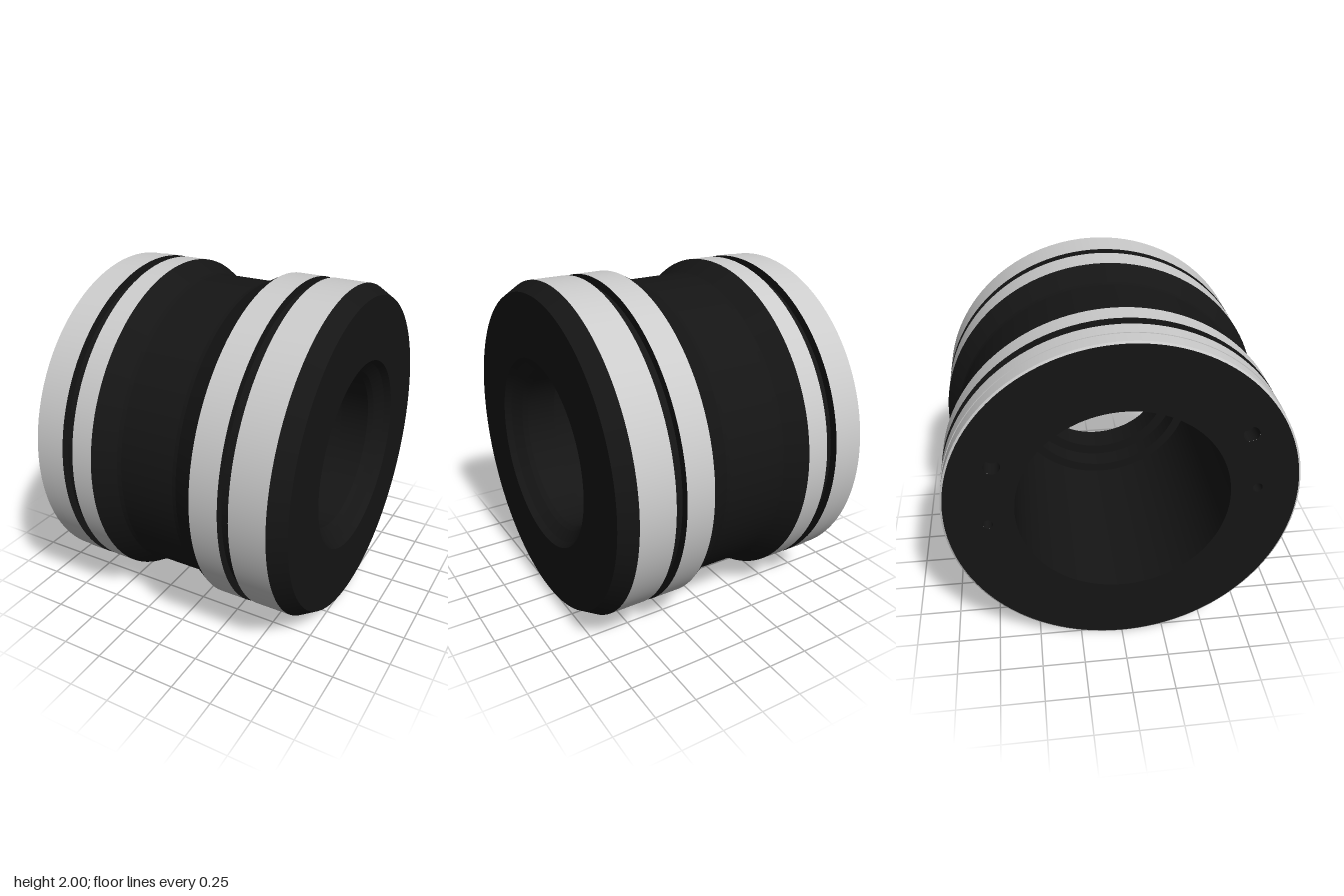
import * as THREE from 'three';
import { mergeGeometries } from 'three/addons/utils/BufferGeometryUtils.js';

const SEGMENTS = 128;
const black = new THREE.MeshStandardMaterial({ color: 0x151515 });
const grey = new THREE.MeshStandardMaterial({ color: 0xcccccc });

// Revolve [x, radius] points about the x axis; every span keeps sharp edges.
function revolve(points, segments = SEGMENTS) {
  const spans = [];
  for (let i = 0; i < points.length - 1; i++) {
    const pair = [points[i], points[i + 1]].map(([x, r]) => new THREE.Vector2(r, x));
    spans.push(new THREE.LatheGeometry(pair, segments));
  }
  return mergeGeometries(spans).rotateZ(-Math.PI / 2);
}

export function createModel() {
  const group = new THREE.Group();
  const add = (name, geometry, material) => {
    const mesh = new THREE.Mesh(geometry, material);
    mesh.name = name;
    group.add(mesh);
    return mesh;
  };

  // Bright outer bands
  add('endBand', revolve([[-0.787, 0.985], [-0.78, 0.996], [-0.692, 0.996], [-0.692, 1], [-0.595, 1]]), grey);
  add('innerBandRight', revolve([[-0.525, 1], [-0.395, 1]]), grey);
  add('innerBandLeft', revolve([[0.24, 1], [0.41, 1]]), grey);
  add('outerBandLeft', revolve([[0.475, 1], [0.69, 1]]), grey);

  // Seal grooves
  for (const [name, a, b] of [['sealGrooveRight', -0.595, -0.525], ['sealGrooveLeft', 0.41, 0.475]]) {
    add(name, revolve([[a, 1], [a, 0.953], [b, 0.953], [b, 1]]), black);
  }

  // Narrowed waist
  add('waist', revolve([[-0.395, 1], [-0.27, 0.931], [-0.245, 0.926], [0.09, 0.926], [0.115, 0.931], [0.24, 1]]), black);

  // Chamfered end with a flared mouth
  add('chamferedEnd', revolve([[0.69, 1], [0.787, 0.945], [0.787, 0.57], [0.75, 0.545], [0.7, 0.49], [0.67, 0.472]]), black);

  // Throat opening into the wide stepped bore
  add('bore', revolve([[0.67, 0.472], [0.49, 0.472], [0.49, 0.54], [0.36, 0.54], [0.36, 0.6], [-0.787, 0.6]]), black);

  // Flat end face, pierced by pairs of pin holes: [y, z, radius]
  const pins = [
    [0.41, 0.68, 0.045], [0.05, 0.75, 0.028],
    [0.31, -0.7, 0.045], [-0.07, -0.75, 0.028],
  ];
  const face = new THREE.Shape().absarc(0, 0, 0.985, 0, Math.PI * 2);
  face.holes.push(new THREE.Path().absarc(0, 0, 0.6, 0, Math.PI * 2, true));
  for (const [y, z, r] of pins) {
    face.holes.push(new THREE.Path().absarc(z, y, r, 0, Math.PI * 2, true));
  }
  const faceGeometry = new THREE.ShapeGeometry(face, 64).rotateY(-Math.PI / 2);
  add('endFace', faceGeometry, black).position.x = -0.787;

  // Blind pockets behind the pin holes
  for (const [y, z, r] of pins) {
    add('pinHole', revolve([[0.1, 0], [0.1, r], [0, r]], 32), black).position.set(-0.787, y, z);
  }

  // Stand on the ground
  group.children.forEach((mesh) => { mesh.position.y += 1; });
  return group;
}
